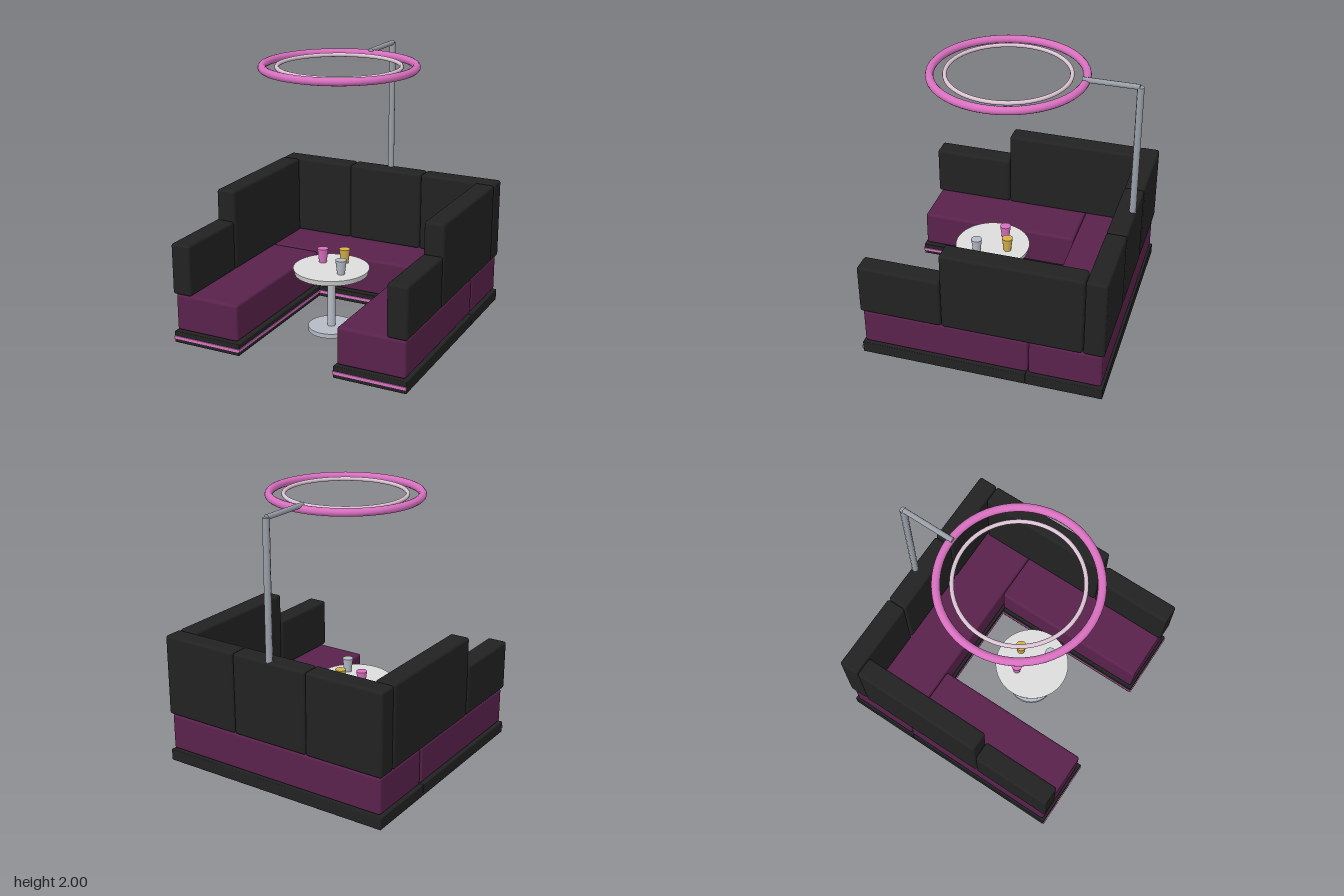
import * as THREE from 'three';
import { RoundedBoxGeometry } from 'three/addons/geometries/RoundedBoxGeometry.js';

const material = (name, color) => {
  const m = new THREE.MeshStandardMaterial({ color });
  m.name = name;
  return m;
};

export function createModel() {
  const black = material('black leather', 0x222222);
  const purple = material('purple upholstery', 0x5a224c);
  const pink = material('neon pink', 0xd970c0);
  const pale = material('pale pink glow', 0xdcc4d4);
  const steel = material('steel', 0x9a9fa8);
  const chrome = material('light chrome', 0xb6bbc6);
  const white = material('table white', 0xdcdcdc);
  const gold = material('gold', 0xd6b04a);

  const model = new THREE.Group();
  model.name = 'loungeBooth';

  const add = (name, geometry, mat, x = 0, y = 0, z = 0) => {
    const mesh = new THREE.Mesh(geometry, mat);
    mesh.name = name;
    mesh.position.set(x, y, z);
    model.add(mesh);
    return mesh;
  };

  // Rounded (or sharp, when radius is 0) block given by its limits
  const block = (name, mat, [x0, x1], [y0, y1], [z0, z1], radius = 0.02) => {
    const size = [x1 - x0, y1 - y0, z1 - z0];
    const geometry = radius
      ? new RoundedBoxGeometry(...size, 3, radius)
      : new THREE.BoxGeometry(...size);
    return add(name, geometry, mat, (x0 + x1) / 2, (y0 + y1) / 2, (z0 + z1) / 2);
  };

  // Upright cylinder given by its bottom and top heights
  const column = (name, mat, rTop, rBottom, y0, y1, x, z, sides = 32) =>
    add(name, new THREE.CylinderGeometry(rTop, rBottom, y1 - y0, sides), mat, x, (y0 + y1) / 2, z);

  // Back of the booth: plinth, neon strip, seat and three back cushions
  const plinthY = [0, 0.088], seatY = [0.095, 0.372], backY = [0.375, 0.987], stripY = [0.03, 0.052];
  block('backPlinth', black, [-0.91, 0.91], plinthY, [-0.897, -0.337], 0.006);
  block('backNeonStrip', pink, [-0.37, 0.37], stripY, [-0.34, -0.331], 0);
  block('backSeat', purple, [-0.895, 0.895], seatY, [-0.882, -0.356]);
  for (const i of [-1, 0, 1]) {
    const x = i * 0.608;
    block('backCushion', black, [x - 0.302, x + 0.302], backY, [-0.897, -0.747]);
  }

  // Mirrored wings: plinth, neon strips, seat, tall side cushion and low armrest
  for (const side of [-1, 1]) {
    const span = (a, b) => (side > 0 ? [a, b] : [-b, -a]);
    block('wingPlinth', black, span(0.37, 0.91), plinthY, [-0.337, 0.892], 0.006);
    block('wingFrontNeonStrip', pink, span(0.37, 0.91), stripY, [0.89, 0.899], 0);
    block('wingInnerNeonStrip', pink, span(0.364, 0.373), stripY, [-0.335, 0.895], 0);
    block('wingSeat', purple, span(0.39, 0.895), seatY, [-0.35, 0.875]);
    block('sideCushion', black, span(0.758, 0.91), backY, [-0.742, 0.277]);
    block('armrest', black, span(0.758, 0.91), [0.375, 0.758], [0.281, 0.892]);
  }

  // Lamp: pole, arm and two concentric rings
  column('lampPole', steel, 0.025, 0.025, 0.9, 1.98, 0, -0.869, 8);
  const arm = add('lampArm', new THREE.CylinderGeometry(0.02, 0.02, 0.395, 8), steel, 0, 1.98, -0.667);
  arm.rotation.x = Math.PI / 2;
  const ring = (name, mat, radius, tube) => {
    const geometry = new THREE.TorusGeometry(radius, tube, 12, 64).rotateX(Math.PI / 2);
    add(name, geometry, mat, 0, 1.955, 0.053);
  };
  ring('outerLampRing', pink, 0.543, 0.029);
  ring('innerLampRing', pale, 0.439, 0.015);

  // Pedestal table
  const tableZ = 0.183;
  column('tableFoot', chrome, 0.173, 0.173, 0, 0.033, 0, tableZ);
  column('tableStem', chrome, 0.03, 0.03, 0.03, 0.455, 0, tableZ, 16);
  column('tableTop', white, 0.28, 0.27, 0.45, 0.49, 0, tableZ, 48);

  // Tumblers on the table
  const cups = [['pinkCup', pink, -0.106, 0.113], ['goldCup', gold, 0.044, 0.053], ['silverCup', chrome, 0.122, 0.27]];
  for (const [name, mat, x, z] of cups) column(name, mat, 0.041, 0.028, 0.49, 0.597, x, z, 16);

  return model;
}
